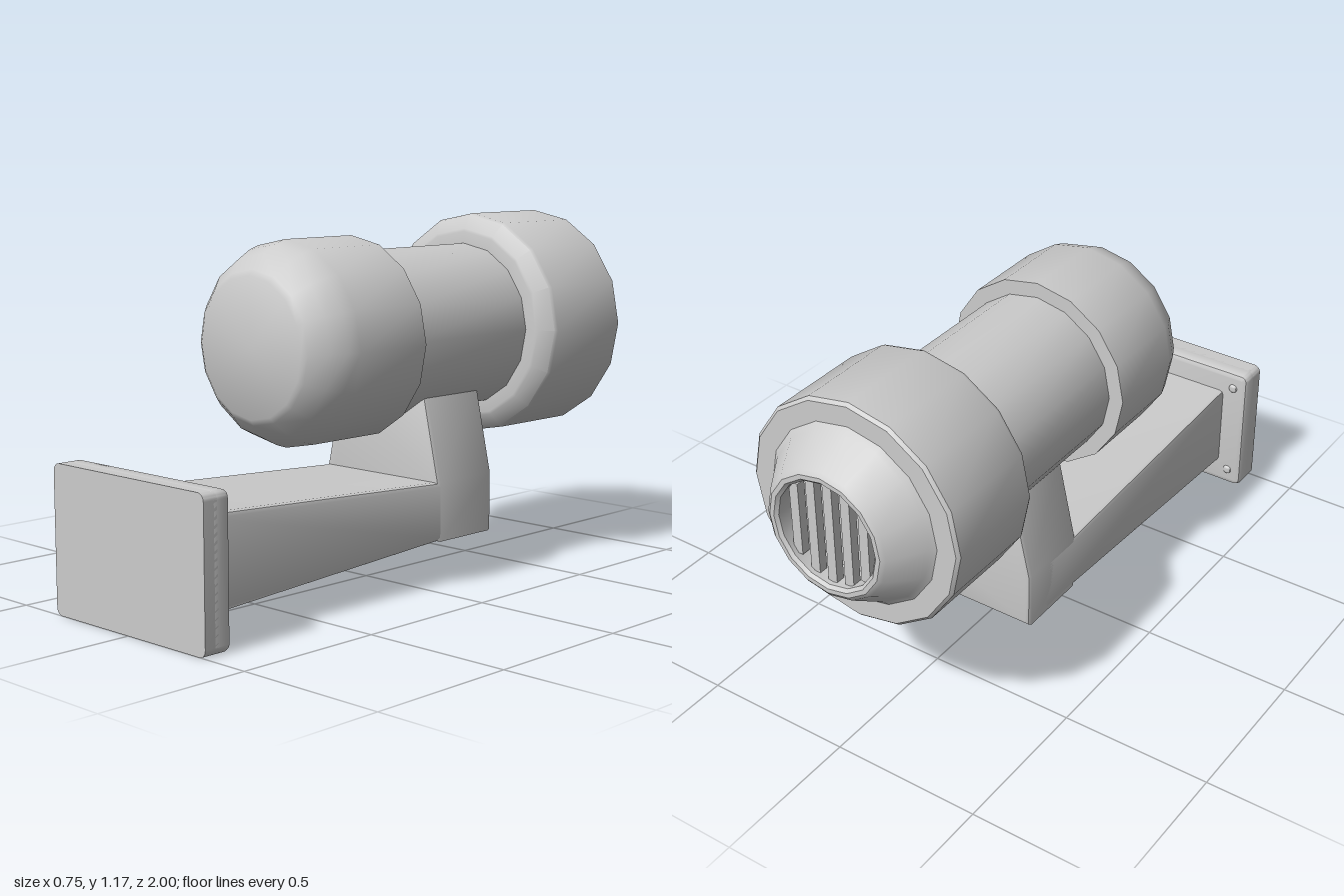
import * as THREE from 'three';
import { toCreasedNormals } from 'three/addons/utils/BufferGeometryUtils.js';

const AXIS_Y = 0.8;
const SIDES = 16;
const material = new THREE.MeshStandardMaterial({ color: 0xcccccc });

function addMesh(parent, name, geometry, crease = 0.6) {
  const mesh = new THREE.Mesh(toCreasedNormals(geometry, crease), material);
  mesh.name = name;
  parent.add(mesh);
  return mesh;
}

// Turned part along z; profile is [radius, z] from back to front
function turned(profile) {
  const points = profile.map(([r, z]) => new THREE.Vector2(r, z));
  return new THREE.LatheGeometry(points, SIDES).rotateX(Math.PI / 2).translate(0, AXIS_Y, 0);
}

// Extrusion whose bevel stays inside the outline and the given depth
function bevelled(shape, depth, bevel) {
  return new THREE.ExtrudeGeometry(shape, {
    depth: depth - 2 * bevel, bevelThickness: bevel, bevelSize: bevel,
    bevelOffset: -bevel, bevelSegments: 2, curveSegments: 4,
  }).translate(0, 0, bevel);
}

function polygon(points) {
  return new THREE.Shape(points.map(([x, y]) => new THREE.Vector2(x, y)));
}

function roundedRect(w, h, r) {
  const s = new THREE.Shape();
  s.absarc(w / 2 - r, h - r, r, 0, Math.PI / 2);
  s.absarc(-w / 2 + r, h - r, r, Math.PI / 2, Math.PI);
  s.absarc(-w / 2 + r, r, r, Math.PI, Math.PI * 1.5);
  s.absarc(w / 2 - r, r, r, Math.PI * 1.5, Math.PI * 2);
  s.closePath();
  return s;
}

export function createModel() {
  const model = new THREE.Group();
  model.name = 'wallLamp';

  // Lamp housing
  const housing = new THREE.Group();
  housing.name = 'housing';
  model.add(housing);
  addMesh(housing, 'barrel', turned([[0.275, -0.5], [0.275, 0.09]]));
  addMesh(housing, 'frontCap', turned([
    [0.26, 0.07], [0.325, 0.07], [0.325, 0.36], [0.312, 0.4], [0.287, 0.45],
    [0.24, 0.498], [0.222, 0.51], [0, 0.51],
  ]));
  // Rear hood with its tapered nozzle and recessed opening
  addMesh(housing, 'rearHood', turned([
    [0, -0.9], [0.175, -0.9], [0.175, -0.99], [0.185, -1], [0.2, -1], [0.214, -0.99],
    [0.282, -0.885], [0.3, -0.87], [0.365, -0.87], [0.375, -0.86],
    [0.375, -0.525], [0.37, -0.513], [0.325, -0.483], [0.315, -0.48], [0.26, -0.48],
  ]));

  // Upright bars across the opening
  const grille = new THREE.Group();
  grille.name = 'grille';
  housing.add(grille);
  for (let i = -2; i <= 2; i++) {
    const x = i * 0.062;
    const length = 2 * Math.sqrt(0.175 ** 2 - x ** 2);
    addMesh(grille, 'grilleBar', new THREE.BoxGeometry(0.032, length, 0.03))
      .position.set(x, AXIS_Y, -0.96);
  }

  // Bracket: tapered arm drawn from the side, post drawn from the front
  const bracket = new THREE.Group();
  bracket.name = 'bracket';
  model.add(bracket);
  const side = polygon([
    [0.92, 0.084], [0.92, 0.386], [-0.07, 0.335], [-0.28, 0.335], [-0.28, 0.14], [-0.07, 0.14],
  ]);
  addMesh(bracket, 'arm',
    bevelled(side, 0.5, 0.015).rotateY(-Math.PI / 2).translate(0.25, 0, 0));
  const front = polygon([
    [-0.25, 0.14], [0.25, 0.14], [0.25, 0.335], [0.187, 0.62], [-0.187, 0.62], [-0.25, 0.335],
  ]);
  addMesh(bracket, 'post', bevelled(front, 0.27, 0.015).translate(0, 0, -0.34));

  // Wall plate: crisp wall side, softened back edge
  const plate = new THREE.Group();
  plate.name = 'wallPlate';
  model.add(plate);
  const outline = roundedRect(0.68, 0.47, 0.025);
  addMesh(plate, 'plateFace',
    new THREE.ExtrudeGeometry(outline, { depth: 0.05, bevelEnabled: false, curveSegments: 4 })
      .translate(0, 0, 0.95));
  addMesh(plate, 'plateRim', bevelled(outline, 0.08, 0.018).translate(0, 0, 0.9));

  // Screw heads in the plate corners
  for (const x of [-0.288, 0.288]) {
    for (const y of [0.06, 0.41]) {
      addMesh(plate, 'screw', new THREE.SphereGeometry(0.016, 12, 8).scale(1, 1, 0.6))
        .position.set(x, y, 0.9);
    }
  }
  return model;
}
